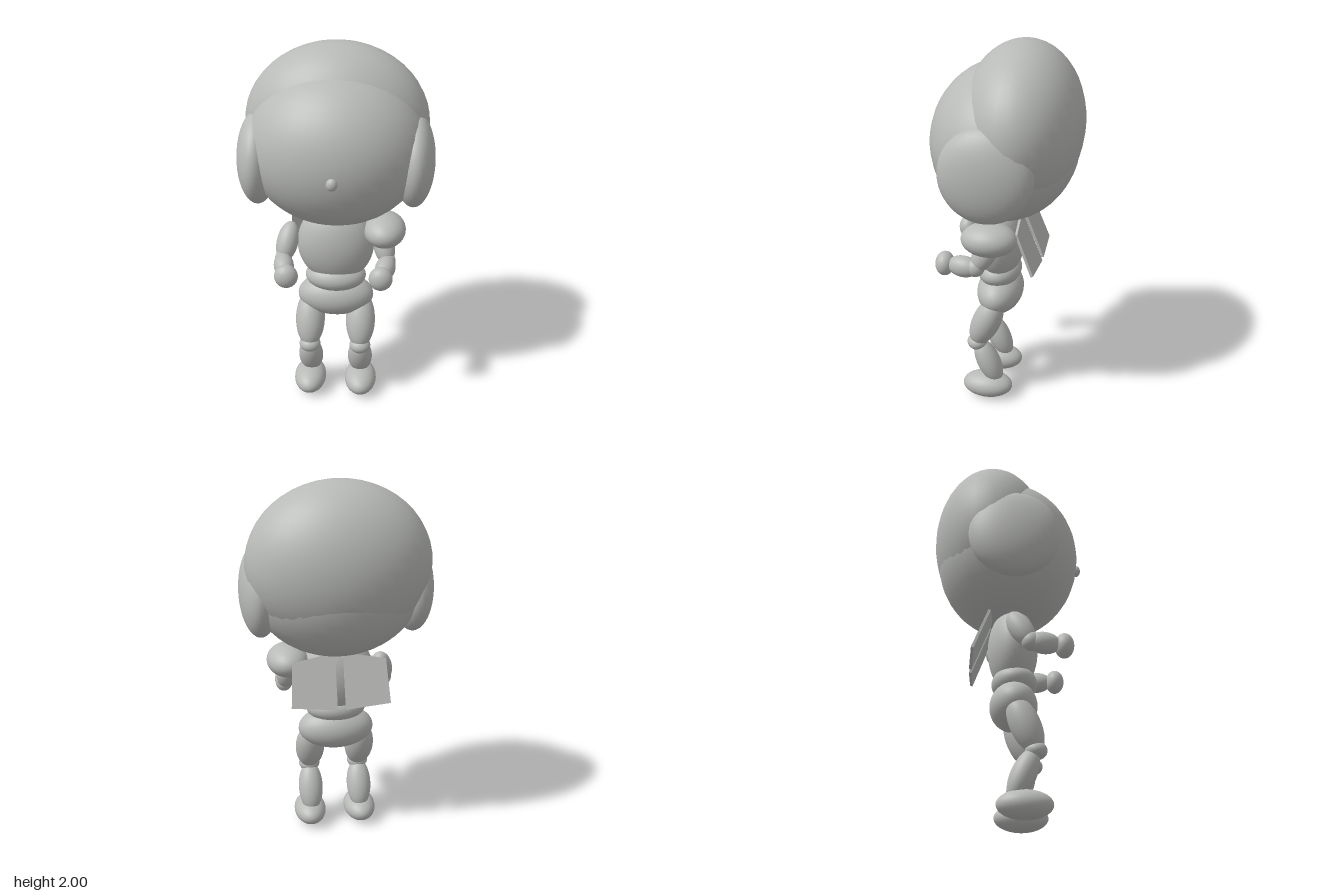
import * as THREE from 'three';

const grey = new THREE.MeshStandardMaterial({ color: 0xb8bab7 });
grey.name = 'plain grey';

const ball = new THREE.SphereGeometry(1, 36, 24);

export function createModel() {
  const model = new THREE.Group();
  model.name = 'figure';

  // Ellipsoid with centre, radii and tilt
  const blob = (name, centre, radii, tilt = [0, 0, 0]) => {
    const mesh = new THREE.Mesh(ball, grey);
    mesh.name = name;
    mesh.position.set(...centre);
    mesh.scale.set(...radii);
    mesh.rotation.set(...tilt);
    model.add(mesh);
  };

  // Head
  blob('face', [0, 1.485, 0], [0.465, 0.415, 0.385]);
  blob('hair', [0, 1.58, -0.09], [0.475, 0.42, 0.315]);
  blob('nose', [0, 1.44, 0.383], [0.028, 0.032, 0.024]);

  // Torso
  blob('chest', [0, 0.94, 0.027], [0.207, 0.23, 0.133]);
  blob('waist', [0, 0.745, 0.035], [0.165, 0.085, 0.12]);
  blob('hips', [0, 0.62, 0.03], [0.208, 0.12, 0.125]);

  // One shoulder pad, on the left only
  blob('shoulderPad', [0.258, 1.03, 0.035], [0.114, 0.088, 0.146]);

  // Wing outline, inner edge near the spine
  const slope = 0.375;
  const wingShape = new THREE.Shape(
    [[0.022, 0.14], [0.248, 0.1], [0.262, -0.12], [0.022, -0.14]]
      .map(([x, y]) => new THREE.Vector2(x, y / Math.cos(slope))));
  const wingGeometry = new THREE.ExtrudeGeometry(wingShape, { depth: 0.014, bevelEnabled: false });
  wingGeometry.translate(0, 0, -0.007);
  const mirroredWing = wingGeometry.clone().rotateY(Math.PI);

  for (const side of [1, -1]) {
    const label = side > 0 ? 'left' : 'right';

    blob(label + 'Ear', [side * 0.4, 1.423, 0.017], [0.107, 0.243, 0.238]);

    // Arm, bent forward at the elbow
    blob(label + 'UpperArm', [side * 0.258, 0.95, 0.055], [0.058, 0.112, 0.06], [-0.5, 0, side * 0.2]);
    blob(label + 'Elbow', [side * 0.277, 0.872, 0.105], [0.046, 0.05, 0.05]);
    blob(label + 'Forearm', [side * 0.268, 0.868, 0.17], [0.053, 0.057, 0.088], [0, -side * 0.2, 0]);
    blob(label + 'Hand', [side * 0.245, 0.865, 0.275], [0.062, 0.065, 0.05]);

    // Leg, bent at the knee
    blob(label + 'Thigh', [side * 0.14, 0.48, 0.08], [0.081, 0.16, 0.078], [-0.41, 0, 0]);
    blob(label + 'Knee', [side * 0.14, 0.345, 0.133], [0.059, 0.045, 0.056]);
    blob(label + 'Shin', [side * 0.14, 0.225, 0.07], [0.069, 0.14, 0.064], [0.42, 0, 0]);
    blob(label + 'Foot', [side * 0.145, 0.077, 0.075], [0.09, 0.072, 0.14]);

    // Flat wing leaning away from the back
    const wing = new THREE.Mesh(side > 0 ? wingGeometry : mirroredWing, grey);
    wing.name = label + 'Wing';
    wing.position.set(0, 0.96, -0.143);
    wing.rotation.x = slope;
    model.add(wing);
  }

  return model;
}
